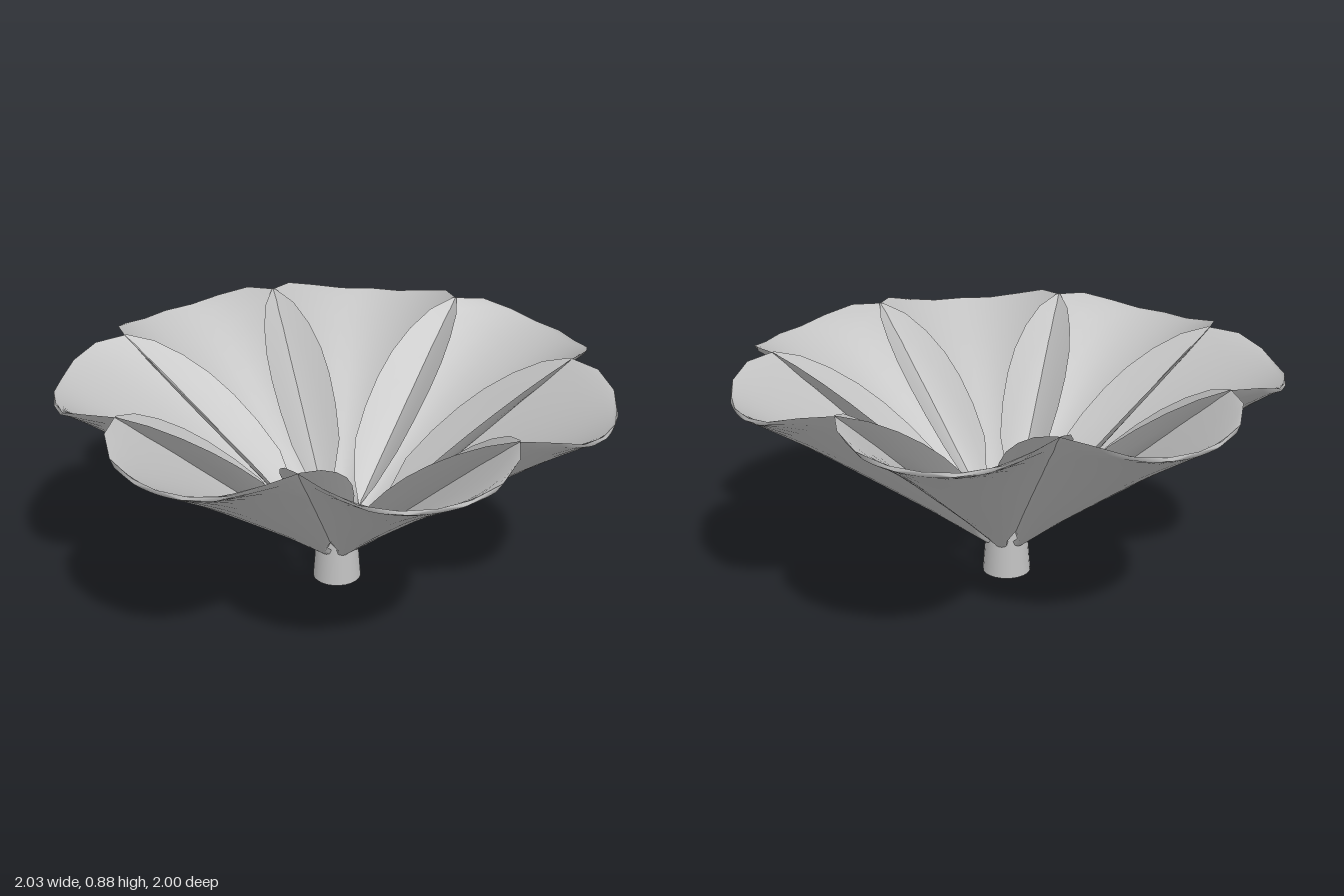
import * as THREE from 'three';
import { mergeVertices } from 'three/addons/utils/BufferGeometryUtils.js';

const PETALS = 7, AXIS_Z = 0.025;
const SIN = 0.585, COS = 0.81; // slope of a petal

// petal rows: [radius of centre line, half width]
const ROWS = [
  [0.08, 0.025], [0.12, 0.035], [0.159, 0.067], [0.21, 0.13], [0.3, 0.207],
  [0.405, 0.266], [0.506, 0.314], [0.6, 0.35], [0.7, 0.376], [0.8, 0.39],
  [0.886, 0.382], [0.961, 0.33], [0.999, 0.24], [1.013, 0.12], [1.025, 0],
];
// height of the centre line against radius
const RISE = [[0.08, 0.14], [0.3, 0.31], [0.5, 0.455], [0.75, 0.635], [1.03, 0.815]];

function rise(r) {
  let i = 0;
  while (i < RISE.length - 2 && r > RISE[i + 1][0]) i++;
  const [r0, y0] = RISE[i], [r1, y1] = RISE[i + 1];
  return y0 + (y1 - y0) * (r - r0) / (r1 - r0);
}

// one face of a cupped petal pointing along +z; the under face is offset outward
function petalSheet(under) {
  const N = 16, pos = [], idx = [];
  ROWS.forEach(([r, w], i) => {
    // the cup opens out toward the rim
    const cup = 1.146 * (1 - 0.3 * THREE.MathUtils.smoothstep(r, 0.93, 1.02));
    for (let j = 0; j <= N; j++) {
      const u = -1 + 2 * j / N, s = u * w;
      const thick = under && w > 0 ? 0.013 * Math.min(1, 4 * (1 - u * u)) : 0;
      const d = cup * s * s / r - thick;
      pos.push(s, rise(r) + COS * d, r - SIN * d);
      if (i < ROWS.length - 1 && j < N) {
        const a = i * (N + 1) + j, b = a + N + 1;
        if (under) idx.push(a, a + 1, b, b, a + 1, b + 1);
        else idx.push(a, b, a + 1, b, b + 1, a + 1);
      }
    }
  });
  const g = new THREE.BufferGeometry();
  g.setAttribute('position', new THREE.Float32BufferAttribute(pos, 3));
  g.setIndex(idx);
  const m = mergeVertices(g, 1e-5);
  m.computeVertexNormals();
  return m;
}

export function createModel() {
  const model = new THREE.Group();
  model.name = 'flower';
  const grey = new THREE.MeshStandardMaterial({ color: 0xc0c0c0 });
  grey.name = 'pale grey';

  // ring of petals
  const upper = petalSheet(false), lower = petalSheet(true);
  for (let k = 0; k < PETALS; k++) {
    const petal = new THREE.Group();
    petal.name = 'petal' + (k + 1);
    const top = new THREE.Mesh(upper, grey);
    top.name = 'petalInside';
    const bottom = new THREE.Mesh(lower, grey);
    bottom.name = 'petalOutside';
    petal.add(top, bottom);
    petal.rotation.y = Math.PI + k * 2 * Math.PI / PETALS;
    petal.position.z = AXIS_Z;
    model.add(petal);
  }

  // short tapered stem
  const stem = new THREE.Mesh(new THREE.CylinderGeometry(0.079, 0.093, 0.18, 24), grey);
  stem.name = 'stem';
  stem.position.set(0, 0.09, AXIS_Z);

  // domed heart on top of the stem
  const heart = new THREE.Mesh(
    new THREE.SphereGeometry(0.079, 24, 8, 0, Math.PI * 2, 0, Math.PI / 2), grey);
  heart.name = 'heart';
  heart.position.set(0, 0.18, AXIS_Z);
  model.add(stem, heart);
  return model;
}
